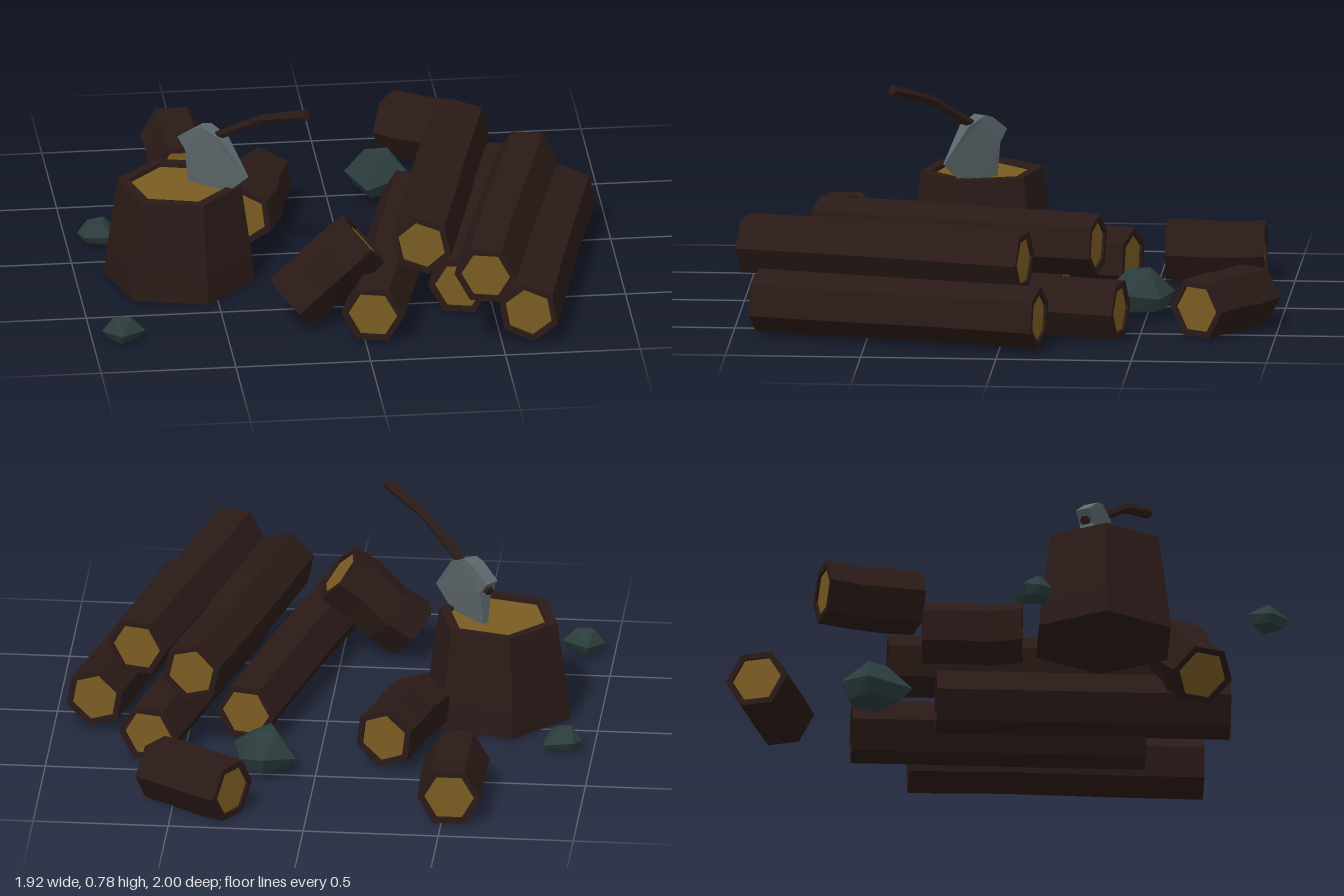
import * as THREE from 'three';
import { ConvexGeometry } from 'three/addons/geometries/ConvexGeometry.js';

const V = (x, y, z) => new THREE.Vector3(x, y, z);
const mat = (color) => new THREE.MeshStandardMaterial({ color, flatShading: true, roughness: 0.9 });
const BARK = mat(0x2a1a17), WOOD = mat(0x7a5c22), STONE = mat(0x2c3c3c), STEEL = mat(0x5c666a);

let seed = 7;
const jitter = (a) => {
  seed = (seed * 16807) % 2147483647;
  return (seed / 2147483647 - 0.5) * 2 * a;
};

function add(parent, name, geometry, material) {
  const mesh = new THREE.Mesh(geometry, material);
  mesh.name = name;
  parent.add(mesh);
  return mesh;
}

function fromTriangles(points) {
  const g = new THREE.BufferGeometry().setFromPoints(points);
  g.computeVertexNormals();
  return g;
}

// Ring maker for six-sided sections at right angles to the axis a-b
function ringMaker(a, b, roll) {
  const d = b.clone().sub(a).normalize();
  const ref = Math.abs(d.y) > 0.95 ? V(0, 0, 1) : V(0, 1, 0);
  const side = ref.cross(d).normalize();
  const up = d.clone().cross(side);
  const ring = (c, r) => Array.from({ length: 6 }, (_, i) => {
    const t = roll + (i * Math.PI) / 3;
    return c.clone().addScaledVector(side, r * Math.cos(t)).addScaledVector(up, r * Math.sin(t));
  });
  return { d, side, up, ring };
}

function skin(rings) {
  const tris = [];
  for (let k = 0; k + 1 < rings.length; k++) {
    for (let i = 0; i < 6; i++) {
      const j = (i + 1) % 6, p = rings[k], q = rings[k + 1];
      tris.push(p[i], p[j], q[j], p[i], q[j], q[i]);
    }
  }
  return fromTriangles(tris);
}

function cap(ring, flip) {
  const tris = [];
  for (let i = 1; i < 5; i++) tris.push(ring[0], ring[flip ? i + 1 : i], ring[flip ? i : i + 1]);
  return fromTriangles(tris);
}

// Log: bark with a rim at both ends and a slightly sunken core
function log(parent, name, a, b, r, roll, wobble) {
  const group = new THREE.Group();
  group.name = name;
  const { d, side, up, ring } = ringMaker(a, b, roll);
  const sink = 0.01, core = r * 0.79;
  const first = ring(a.clone().addScaledVector(d, sink), core);
  const last = ring(b.clone().addScaledVector(d, -sink), core);
  const middle = [0.33, 0.67].map((t) => ring(
    a.clone().lerp(b, t).addScaledVector(side, jitter(wobble)).addScaledVector(up, jitter(wobble / 2)),
    r * (1 + jitter(0.03))));
  add(group, 'bark', skin([first, ring(a, core), ring(a, r), ...middle, ring(b, r), ring(b, core), last]), BARK);
  add(group, 'startCore', cap(first, true), WOOD);
  add(group, 'endCore', cap(last, false), WOOD);
  parent.add(group);
}

// Stone: convex lump over an outline of [x, z] points
function stone(parent, outline, y0, y1) {
  const n = outline.length;
  const cx = outline.reduce((s, p) => s + p[0], 0) / n;
  const cz = outline.reduce((s, p) => s + p[1], 0) / n;
  const pts = [];
  outline.forEach(([x, z], i) => {
    const at = (s, y) => pts.push(V(cx + (x - cx) * s, y, cz + (z - cz) * s));
    at(1, y0 + (y1 - y0) * (0.35 + 0.12 * (i % 2)));
    at(0.7, y0);
    at(0.42, y1 - (i % 2) * (y1 - y0) * 0.12);
  });
  add(parent, 'stone', new ConvexGeometry(pts), STONE);
}

export function createModel() {
  const model = new THREE.Group();
  model.name = 'woodpile';

  // Long stacked logs, front end to back end
  const r = 0.116;
  [
    [V(0.025, 0.112, 0.84), V(0.285, 0.112, -0.21), 0],
    [V(0.37, 0.112, 0.62), V(0.625, 0.112, -0.435), 0],
    [V(0.595, 0.125, 0.91), V(0.85, 0.125, -0.15), 0.35],
    [V(0.22, 0.325, 0.71), V(0.475, 0.325, -0.34), 0.3],
    [V(0.43, 0.306, 0.965), V(0.70, 0.306, -0.085), 0],
  ].forEach(([a, b, roll]) => log(model, 'longLog', a, b, r, roll, 0.006));

  // Short cut logs scattered around, one leaning on the pile
  [
    [V(-0.53, 0.105, -0.525), V(-0.53, 0.105, -0.89), 0],
    [V(0.27, 0.108, -0.905), V(0.575, 0.108, -0.71), 0],
    [V(-0.36, 0.125, -0.07), V(-0.245, 0.125, -0.42), 0.4],
    [V(-0.255, 0.095, 0.655), V(0.015, 0.325, 0.62), 0],
  ].forEach(([a, b, roll]) => log(model, 'shortLog', a, b, r + 0.002, roll, 0.016));

  // Chopping stump
  const stump = new THREE.Group();
  stump.name = 'stump';
  const base = V(-0.618, 0, 0.165), top = V(-0.618, 0.38, 0.165);
  const { ring } = ringMaker(base, top, THREE.MathUtils.degToRad(46));
  const at = (y, rad) => ring(V(base.x, y, base.z), rad);
  const sunk = at(0.365, 0.186);
  add(stump, 'stumpBark', skin([at(0, 0.28), at(0.1, 0.27), at(0.38, 0.23), at(0.38, 0.19), sunk]), BARK);
  add(stump, 'stumpBase', cap(at(0, 0.28), true), BARK);
  add(stump, 'stumpTop', cap(sunk, false), WOOD);
  model.add(stump);

  // Axe stuck in the stump
  const axe = new THREE.Group();
  axe.name = 'axe';
  const path = [V(-0.592, 0.5, 0.1), V(-0.48, 0.575, 0.195), V(-0.33, 0.697, 0.335), V(-0.18, 0.762, 0.465)];
  const shaft = ringMaker(path[0], path[3], 0);
  const shaftRings = path.map((p, i) => shaft.ring(p, i === 3 ? 0.021 : 0.018));
  add(axe, 'handle', skin(shaftRings), BARK);
  add(axe, 'handleButt', cap(shaftRings[0], true), BARK);
  add(axe, 'handleTip', cap(shaftRings[3], false), BARK);

  // Axe head: flat outline, thick at the poll and thin at the edge
  const outline = [
    [-0.135, -0.03], [-0.1, -0.075], [-0.1, -0.27], [-0.03, -0.27],
    [0.1, -0.185], [0.165, -0.127], [0.06, 0.003], [-0.02, 0.034], [-0.06, 0.024],
  ].map(([x, y]) => new THREE.Vector2(x, y));
  const head = new THREE.ExtrudeGeometry(new THREE.Shape(outline), { depth: 1, bevelEnabled: false });
  head.translate(0, 0, -0.5);
  const p = head.attributes.position;
  for (let i = 0; i < p.count; i++) {
    const along = p.getX(i) * 0.6 - p.getY(i) * 0.8;
    const thick = THREE.MathUtils.clamp(0.056 - along * 0.3, 0.006, 0.056);
    p.setZ(i, p.getZ(i) * thick);
  }
  head.computeVertexNormals();
  const blade = add(axe, 'axeHead', head, STEEL);
  blade.position.set(-0.5, 0.57, 0.18);
  blade.rotation.y = -Math.atan2(0.665, 0.747);
  model.add(axe);

  // Loose stones
  stone(model, [[-0.96, -0.18], [-0.93, -0.235], [-0.815, -0.24], [-0.835, -0.1], [-0.94, -0.13]], 0.01, 0.09);
  stone(model, [[-0.965, 0.71], [-0.905, 0.63], [-0.805, 0.72], [-0.9, 0.8]], 0.01, 0.09);
  stone(model, [[0.07, -0.535], [0.185, -0.605], [0.275, -0.555], [0.305, -0.43], [0.135, -0.345]], 0.03, 0.175);

  return model;
}
